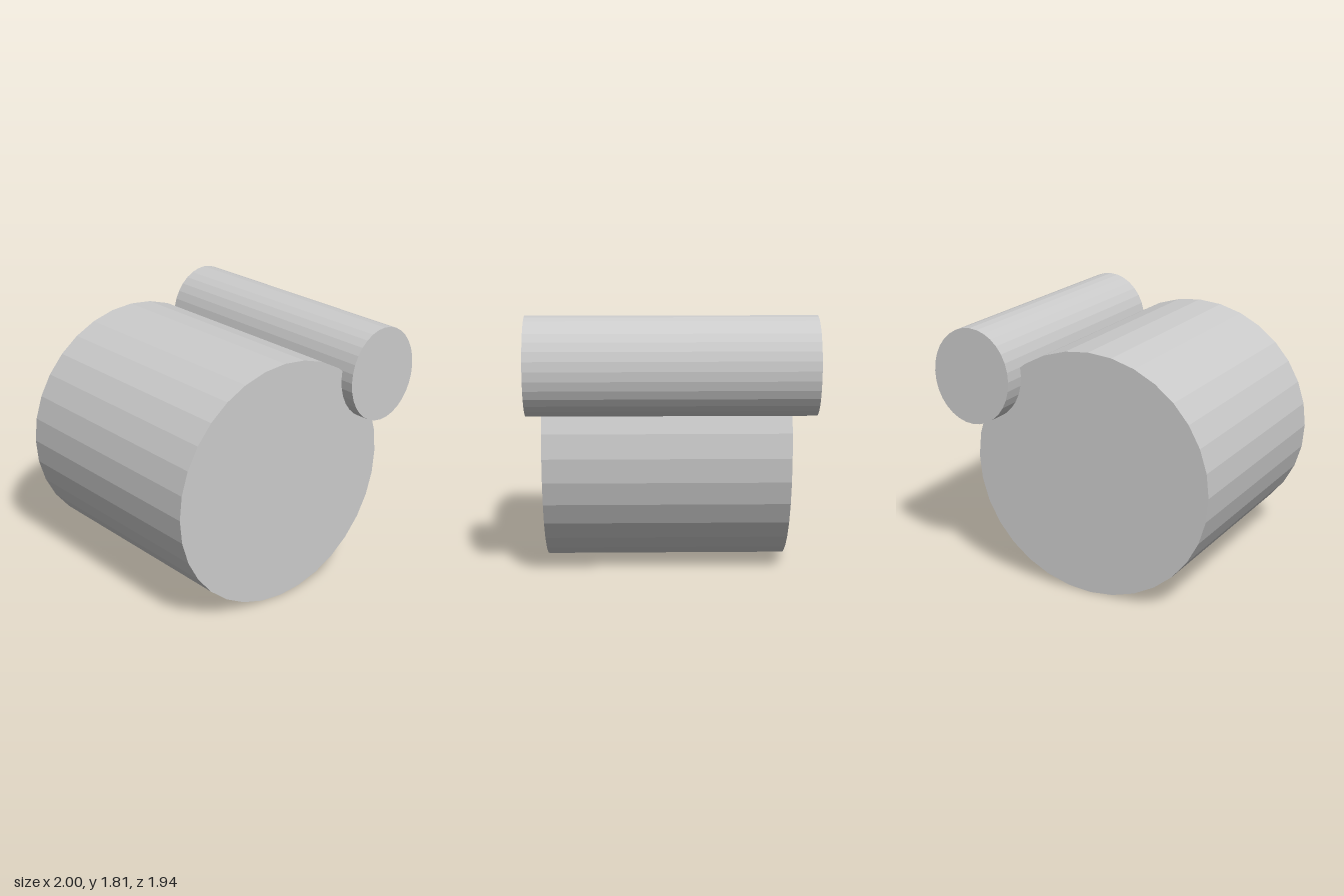
import * as THREE from 'three';

const material = new THREE.MeshStandardMaterial({ color: 0xcccccc, flatShading: true });

// Elliptical cylinder lying along z, given by its x, y and z extents
function roller(name, [x0, x1], [y0, y1], [z0, z1]) {
  const geometry = new THREE.CylinderGeometry(1, 1, 1, 32);
  geometry.rotateX(Math.PI / 2);
  geometry.scale((x1 - x0) / 2, (y1 - y0) / 2, z1 - z0);
  const mesh = new THREE.Mesh(geometry, material);
  mesh.name = name;
  mesh.position.set((x0 + x1) / 2, (y0 + y1) / 2, (z0 + z1) / 2);
  return mesh;
}

export function createModel() {
  const group = new THREE.Group();
  group.name = 'rollers';
  // Large drum, and the longer thin roller sunk into its upper left side
  group.add(
    roller('largeDrum', [-1, 0.767], [0, 1.717], [-0.812, 0.87]),
    roller('smallRoller', [0.407, 1], [1.143, 1.815], [-0.97, 0.97]),
  );
  return group;
}
